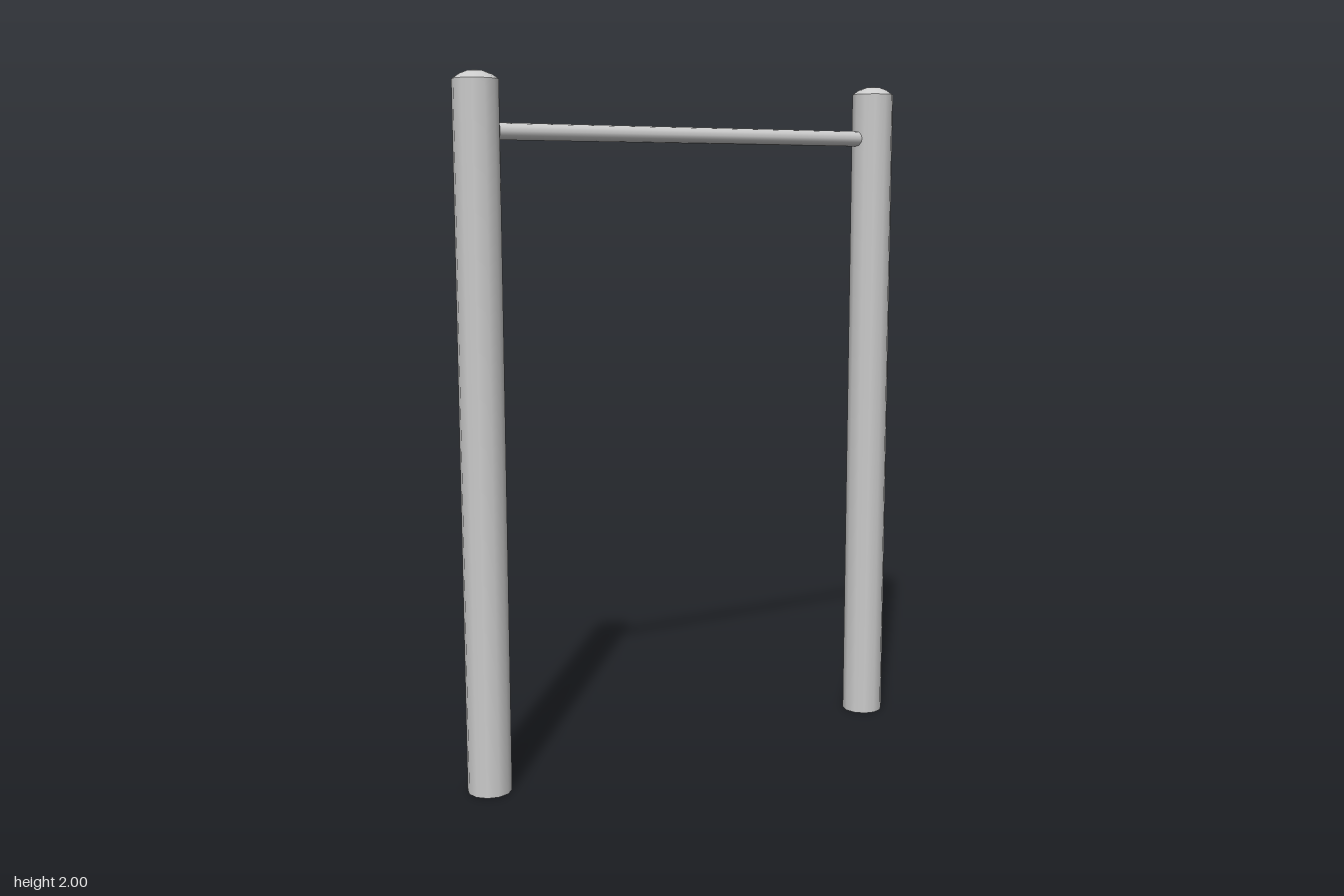
import * as THREE from 'three';

const POST_X = 0.667, POST_R = 0.063, POST_TOP = 1.976, SIDES = 12;
const BAR_Y = 1.841, BAR_R = 0.023;

export function createModel() {
  const model = new THREE.Group();
  model.name = 'pullUpBar';
  const material = new THREE.MeshStandardMaterial({ color: 0xcccccc, side: THREE.DoubleSide });

  const add = (name, geometry, x, y) => {
    const mesh = new THREE.Mesh(geometry, material);
    mesh.name = name;
    mesh.position.set(x, y, 0);
    model.add(mesh);
    return mesh;
  };

  // Open-bottomed tubular post and its shallow domed cap
  const postGeometry = new THREE.CylinderGeometry(POST_R, POST_R, POST_TOP, SIDES, 1, true);
  const capHeight = 2 - POST_TOP;
  const sphereR = (POST_R ** 2 + capHeight ** 2) / (2 * capHeight);
  const capAngle = Math.asin(POST_R / sphereR);
  const capGeometry = new THREE.SphereGeometry(sphereR, SIDES, 3, 0, Math.PI * 2, 0, capAngle);

  for (const [side, sign] of [['left', 1], ['right', -1]]) {
    add(side + 'Post', postGeometry, sign * POST_X, POST_TOP / 2);
    add(side + 'PostCap', capGeometry, sign * POST_X, 2 - sphereR);
  }

  // Horizontal grip bar, its ends just inside the posts
  const barGeometry = new THREE.CylinderGeometry(BAR_R, BAR_R, 2 * (POST_X - 0.05), SIDES);
  add('gripBar', barGeometry, 0, BAR_Y).rotation.z = Math.PI / 2;

  return model;
}
